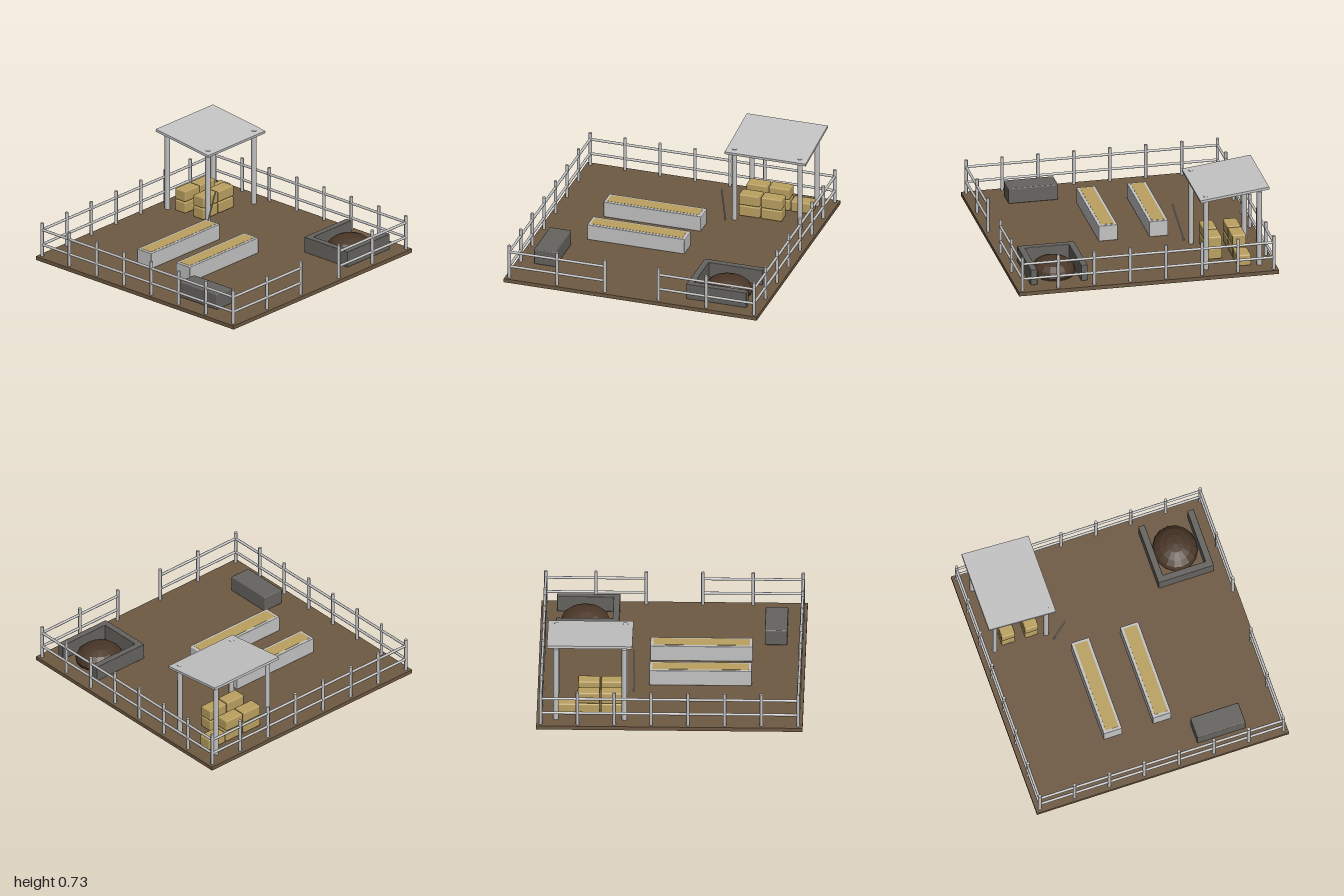
import * as THREE from 'three';
import { RoundedBoxGeometry } from 'three/addons/geometries/RoundedBoxGeometry.js';

const mat = (name, color, extra = {}) => {
  const m = new THREE.MeshStandardMaterial({ color, ...extra });
  m.name = name;
  return m;
};

export function createModel() {
  const root = new THREE.Group();
  root.name = 'animalPen';
  const earth = mat('earth', 0x6e5a43);
  const metal = mat('paleMetal', 0xc4c4c4);
  const hay = mat('hay', 0xbca262);
  const stone = mat('stone', 0x66645f);
  const mud = mat('mud', 0x4a3728, { flatShading: true });

  const group = (name) => {
    const g = new THREE.Group();
    g.name = name;
    root.add(g);
    return g;
  };
  const add = (parent, name, geometry, material, x, y, z) => {
    const m = new THREE.Mesh(geometry, material);
    m.name = name;
    m.position.set(x, y, z);
    parent.add(m);
    return m;
  };
  // Softly bevelled block given by its extents
  const block = (parent, name, material, x0, x1, y0, y1, z0, z1, r = 0.006) =>
    add(parent, name, new RoundedBoxGeometry(x1 - x0, y1 - y0, z1 - z0, 1, r), material,
      (x0 + x1) / 2, (y0 + y1) / 2, (z0 + z1) / 2);
  // Round bar between two points
  const bar = (parent, name, a, b, r, sides = 8) => {
    const p = new THREE.Vector3(...a), q = new THREE.Vector3(...b);
    const d = q.clone().sub(p);
    const m = add(parent, name, new THREE.CylinderGeometry(r, r, d.length(), sides), metal, 0, 0, 0);
    m.position.copy(p).add(q).multiplyScalar(0.5);
    m.quaternion.setFromUnitVectors(new THREE.Vector3(0, 1, 0), d.normalize());
    return m;
  };

  // Ground slab
  add(root, 'ground', new THREE.BoxGeometry(2, 0.03, 2), earth, 0, 0.07, 0);

  // Fence: runs of evenly spaced posts joined by two rails
  const E = 0.967;
  const fence = (name, a, b, spans, skipEnds) => {
    const g = group(name);
    const at = (t, y) => [a[0] + (b[0] - a[0]) * t, y, a[1] + (b[1] - a[1]) * t];
    for (let i = 0; i <= spans; i++) {
      if (skipEnds && (i === 0 || i === spans)) continue;
      bar(g, 'fencePost', at(i / spans, 0.054), at(i / spans, 0.355), 0.013);
    }
    for (const y of [0.18, 0.3]) bar(g, 'fenceRail', at(0, y), at(1, y), 0.0105);
  };
  fence('backFence', [-E, -E], [E, -E], 7, false);
  for (const s of [-1, 1]) {
    fence(s > 0 ? 'leftFence' : 'rightFence', [s * E, -E], [s * E, E], 7, true);
    fence(s > 0 ? 'frontFenceLeft' : 'frontFenceRight', [s * 0.213, E], [s * E, E], 2, false);
  }

  // Shelter with a lean-to roof
  const shelter = group('shelter');
  for (const x of [0.34, 0.855])
    for (const z of [-0.47, -0.88])
      bar(shelter, 'shelterPost', [x, 0.085, z], [x, 0.679, z], 0.02);
  const roof = add(shelter, 'roof', new THREE.BoxGeometry(0.64, 0.02, 0.534), metal, 0.6, 0.692, -0.678);
  roof.rotation.x = 0.122;

  // Stacked bales: back row of three, front row of two, four on top
  const bales = group('hayBales');
  const bale = (i, layer, z) => {
    const x = 0.435 + i * 0.175, y = 0.087 + layer * 0.092;
    block(bales, 'hayBale', hay, x - 0.083, x + 0.083, y, y + 0.088, z - 0.053, z + 0.053, 0.01);
  };
  for (const z of [-0.578, -0.763])
    for (const i of [0, 1]) for (const layer of [0, 1]) bale(i, layer, z);
  bale(2, 0, -0.763);

  // Leaning tool handle
  bar(root, 'toolHandle', [0.28, 0.085, -0.43], [0.28, 0.39, -0.34], 0.006, 6);

  // Feed troughs
  for (const z of [-0.262, 0.128]) {
    const g = group('feedTrough');
    block(g, 'troughBody', metal, -0.605, 0.165, 0.086, 0.211, z - 0.073, z + 0.073);
    add(g, 'feed', new THREE.BoxGeometry(0.725, 0.04, 0.102), hay, -0.22, 0.1925, z);
  }

  // Stone water block
  block(root, 'stoneBlock', stone, -0.86, -0.69, 0.086, 0.211, 0.32, 0.703, 0.008);

  // Three-sided wall around the mound
  const wall = group('moundWall');
  block(wall, 'wallSide', stone, 0.405, 0.455, 0.086, 0.211, 0.445, 0.883, 0.004);
  block(wall, 'wallBack', stone, 0.405, 0.88, 0.086, 0.211, 0.445, 0.495, 0.004);
  block(wall, 'wallFront', stone, 0.405, 0.88, 0.086, 0.211, 0.833, 0.883, 0.004);

  // Flattened mound
  const mound = add(root, 'mound', new THREE.SphereGeometry(1, 16, 8), mud, 0.664, 0.105, 0.664);
  mound.scale.set(0.185, 0.105, 0.168);

  return root;
}
